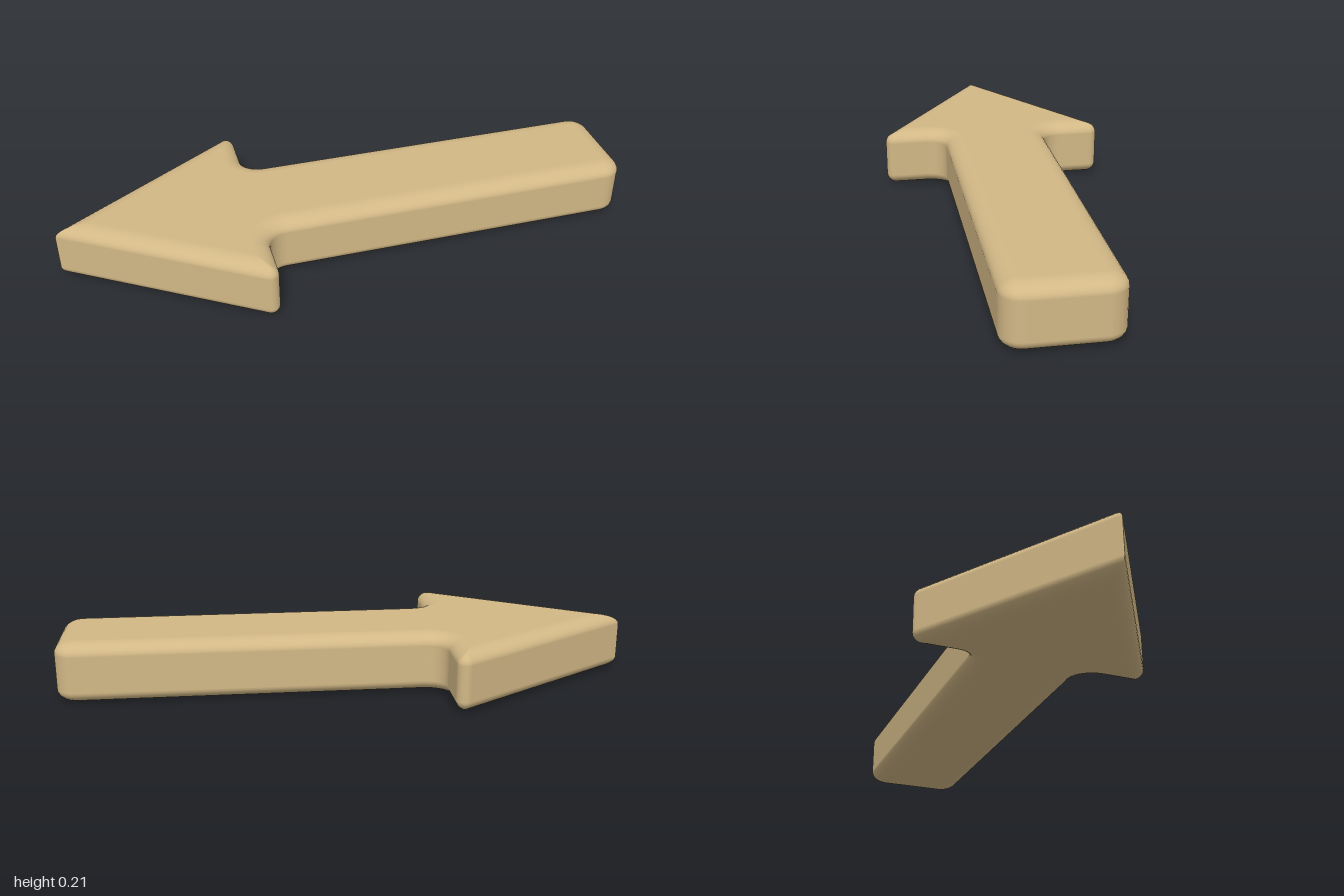
import * as THREE from 'three';

const HEIGHT = 0.21;
const BEVEL_IN = 0.065; // how far the rounded edge reaches inwards
const BEVEL_UP = 0.042; // how tall the rounded edge is
const ARC = 8; // segments per rounded corner
const STEPS = 7; // segments per rounded edge

// Sharp plan of the arrow, counter-clockwise from above: x, -z, corner radius (negative = inner fillet)
const CORNERS = [
  [-1, 0, 0.003],
  [-0.32, -0.432, 0.03],
  [-0.32, -0.186, -0.07],
  [1, -0.186, 0.07],
  [1, 0.186, 0.07],
  [-0.32, 0.186, -0.07],
  [-0.32, 0.432, 0.03],
];

// Plan outline moved inwards by inset, each corner rounded; returns points with outward normals
function outline(inset) {
  const ring = [];
  const count = CORNERS.length;
  CORNERS.forEach(([x, y, radius], i) => {
    const p = new THREE.Vector2(x, y);
    const before = new THREE.Vector2(...CORNERS[(i + count - 1) % count].slice(0, 2));
    const after = new THREE.Vector2(...CORNERS[(i + 1) % count].slice(0, 2));
    const a = p.clone().sub(before).angle() - Math.PI / 2;
    const b = after.sub(p).angle() - Math.PI / 2;
    const turn = Math.atan2(Math.sin(b - a), Math.cos(b - a));
    const r = radius > 0 ? Math.max(radius - inset, 0.003) : radius - inset;
    const reach = (inset + r) / Math.cos(turn / 2);
    const cx = x - Math.cos(a + turn / 2) * reach;
    const cy = y - Math.sin(a + turn / 2) * reach;
    for (let k = 0; k <= ARC; k++) {
      const t = a + (turn * k) / ARC;
      const nx = Math.cos(t), ny = Math.sin(t);
      ring.push({ x: cx + nx * r, y: cy + ny * r, nx, ny });
    }
  });
  return ring;
}

function arrowGeometry() {
  const positions = [], normals = [], index = [];
  const size = CORNERS.length * (ARC + 1);

  // Layers from the bottom rounded edge, up the wall, to the top rounded edge
  const layers = [];
  for (const side of [-1, 1]) {
    for (let k = 0; k <= STEPS; k++) {
      const phi = (side < 0 ? k / STEPS - 1 : k / STEPS) * Math.PI / 2;
      layers.push({ phi, y: HEIGHT / 2 + side * (HEIGHT / 2 - BEVEL_UP) + BEVEL_UP * Math.sin(phi) });
    }
  }
  layers.forEach(({ phi, y }, row) => {
    const n = new THREE.Vector2(Math.cos(phi) / BEVEL_IN, Math.sin(phi) / BEVEL_UP).normalize();
    outline(BEVEL_IN * (1 - Math.cos(phi))).forEach((p, i) => {
      positions.push(p.x, y, -p.y);
      normals.push(p.nx * n.x, n.y, -p.ny * n.x);
      if (row === layers.length - 1) return;
      const a = row * size + i, b = row * size + ((i + 1) % size);
      index.push(a, b, b + size, a, b + size, a + size);
    });
  });

  // Flat top and bottom
  const flat = outline(BEVEL_IN).map((p) => new THREE.Vector2(p.x, p.y));
  const faces = THREE.ShapeUtils.triangulateShape(flat, []);
  for (const up of [true, false]) {
    const start = positions.length / 3;
    for (const p of flat) {
      positions.push(p.x, up ? HEIGHT : 0, -p.y);
      normals.push(0, up ? 1 : -1, 0);
    }
    for (const [a, b, c] of faces) {
      index.push(start + a, start + (up ? b : c), start + (up ? c : b));
    }
  }

  const geometry = new THREE.BufferGeometry();
  geometry.setAttribute('position', new THREE.Float32BufferAttribute(positions, 3));
  geometry.setAttribute('normal', new THREE.Float32BufferAttribute(normals, 3));
  geometry.setIndex(index);
  return geometry;
}

export function createModel() {
  const group = new THREE.Group();
  group.name = 'arrowSign';
  const arrow = new THREE.Mesh(arrowGeometry(), new THREE.MeshStandardMaterial({ color: 0xd2b886 }));
  arrow.name = 'arrow';
  group.add(arrow);
  return group;
}
